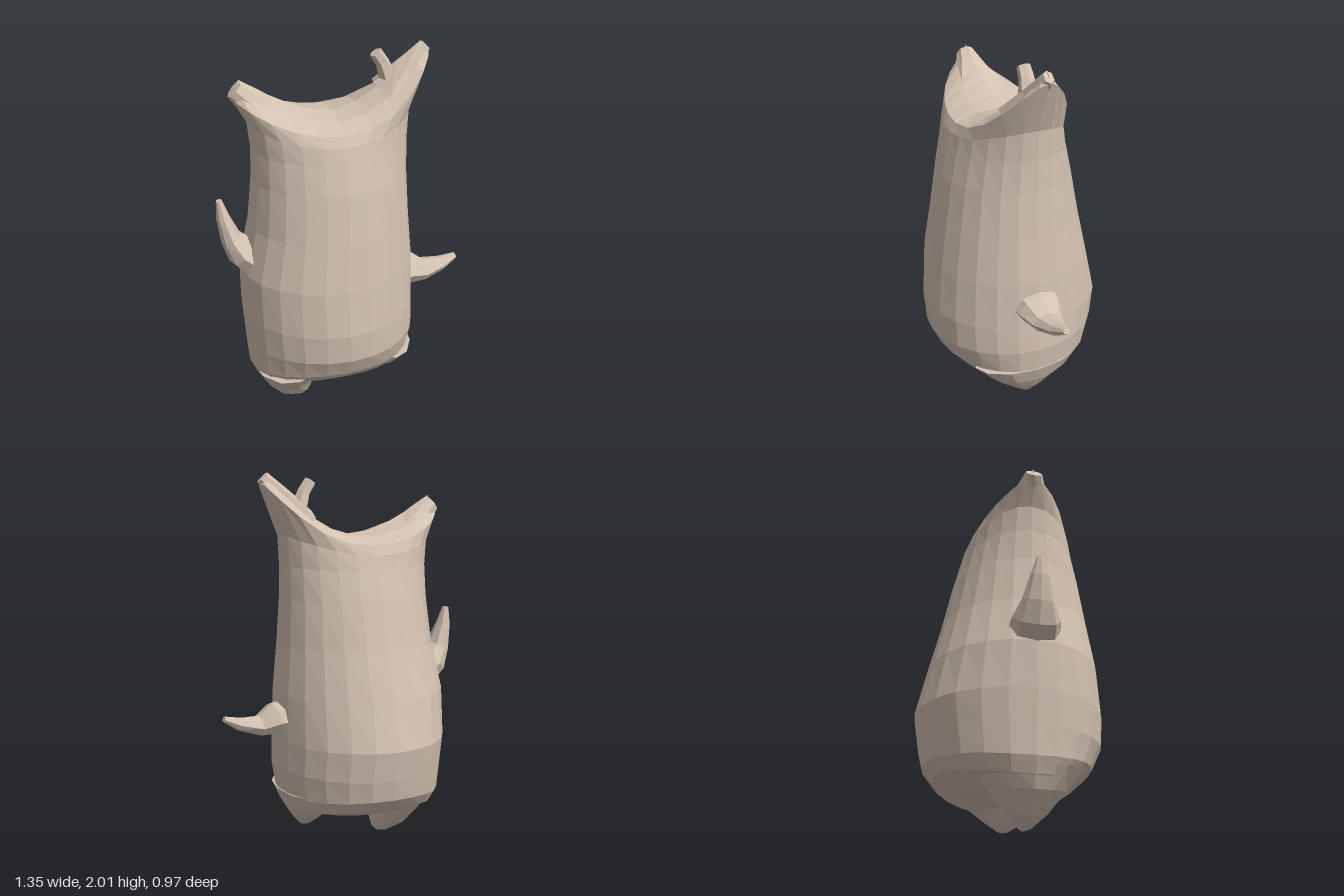
import * as THREE from 'three';

const MID_Z = 0.045; // plane through ears, arms and feet
const material = new THREE.MeshStandardMaterial({ color: 0xd3c2b2, flatShading: true });

// Skins a stack of closed rings (arrays of [x, y, z]) listed from base to tip
function skin(name, rings) {
  const n = rings[0].length;
  const index = [];
  for (let i = 0; i < rings.length - 1; i++) {
    for (let j = 0; j < n; j++) {
      const k = (j + 1) % n;
      const a = i * n + j, b = i * n + k, c = a + n, d = b + n;
      index.push(a, c, d, a, d, b);
    }
  }
  const geometry = new THREE.BufferGeometry();
  geometry.setAttribute('position', new THREE.Float32BufferAttribute(rings.flat(2), 3));
  geometry.setIndex(index);
  geometry.computeVertexNormals();
  const mesh = new THREE.Mesh(geometry, material);
  mesh.name = name;
  return mesh;
}

// Body ring whose left end, middle and right end have their own heights
function bodyRing([yl, ym, yr, xl, xr, zb, zf, rise = 2, pinch = 1], sides = 24) {
  return Array.from({ length: sides }, (_, j) => {
    const a = (j / sides) * Math.PI * 2;
    const c = Math.cos(a), s = Math.sin(a);
    const depth = s > 0 ? zf - MID_Z : MID_Z - zb;
    return [
      (xl + xr) / 2 + ((xr - xl) / 2) * c,
      ym + ((c > 0 ? yr : yl) - ym) * Math.abs(c) ** rise,
      MID_Z + Math.sign(s) * depth * Math.abs(s) ** pinch,
    ];
  });
}

// Tapered limb along stations [x, y, half thickness, half depth], closed at both ends
function limb(name, stations, sides = 8) {
  const last = stations.length - 1;
  const rings = stations.map(([x, y, w, h], i) => {
    const p = stations[Math.max(i - 1, 0)], q = stations[Math.min(i + 1, last)];
    const length = Math.hypot(q[0] - p[0], q[1] - p[1]);
    const nx = (q[1] - p[1]) / length, ny = -(q[0] - p[0]) / length;
    return Array.from({ length: sides }, (_, j) => {
      const a = (j / sides) * Math.PI * 2;
      const c = Math.cos(a) * w;
      return [x + nx * c, y + ny * c, MID_Z + Math.sin(a) * h];
    });
  });
  const centre = ([x, y]) => Array.from({ length: sides }, () => [x, y, MID_Z]);
  return skin(name, [centre(stations[0]), ...rings, centre(stations[last])]);
}

export function createModel() {
  const group = new THREE.Group();
  group.name = 'sackFigure';

  // Plump sack: flat underside, bulging belly, pinched saddle-shaped top
  const body = [
    [0.2, 0.21, 0.2, -0.2, 0.12, MID_Z, MID_Z],
    [0.16, 0.2, 0.19, -0.37, 0.21, -0.24, 0.25],
    [0.19, 0.27, 0.22, -0.505, 0.325, -0.38, 0.36],
    [0.27, 0.33, 0.3, -0.54, 0.36, -0.43, 0.42],
    [0.42, 0.44, 0.45, -0.55, 0.38, -0.455, 0.475],
    [0.6, 0.6, 0.6, -0.562, 0.375, -0.48, 0.485],
    [0.85, 0.85, 0.85, -0.565, 0.368, -0.42, 0.465],
    [1.1, 1.1, 1.1, -0.51, 0.345, -0.355, 0.43],
    [1.35, 1.35, 1.35, -0.485, 0.33, -0.3, 0.39],
    [1.52, 1.5, 1.52, -0.485, 0.33, -0.26, 0.355],
    [1.66, 1.58, 1.68, -0.5, 0.34, -0.24, 0.335],
    [1.79, 1.63, 1.95, -0.57, 0.45, -0.22, 0.31, 2.2, 1.25],
    [1.84, 1.665, 1.975, -0.555, 0.435, -0.11, 0.19, 1.9, 1.25],
    [1.88, 1.675, 1.995, -0.53, 0.415, MID_Z, MID_Z, 1.6],
  ];
  group.add(skin('body', body.map((ring) => bodyRing(ring))));

  // Tied corners at the top, and the small stub on the taller one
  group.add(limb('rightEar', [
    [-0.4, 1.68, 0.1, 0.15], [-0.48, 1.77, 0.07, 0.085], [-0.553, 1.835, 0.05, 0.045],
  ]));
  group.add(limb('leftEar', [
    [0.24, 1.74, 0.1, 0.17], [0.33, 1.86, 0.065, 0.085], [0.432, 1.973, 0.036, 0.026],
  ], 6));
  group.add(limb('earStub', [
    [0.23, 1.83, 0.045, 0.055], [0.205, 1.9, 0.035, 0.04], [0.168, 1.955, 0.033, 0.035],
  ], 6));

  // Arms: one hangs out to the side, the other is raised
  group.add(limb('leftArm', [
    [0.3, 0.72, 0.1, 0.14], [0.38, 0.71, 0.085, 0.125], [0.47, 0.68, 0.055, 0.085],
    [0.58, 0.7, 0.035, 0.05], [0.665, 0.735, 0.015, 0.02],
  ]));
  group.add(limb('rightArm', [
    [-0.47, 0.89, 0.1, 0.14], [-0.56, 0.96, 0.085, 0.125], [-0.61, 1.04, 0.055, 0.085],
    [-0.645, 1.16, 0.035, 0.05], [-0.66, 1.255, 0.016, 0.02],
  ]));

  // Blunt cone feet, the right one reaching lower
  group.add(limb('rightFoot', [
    [-0.33, 0.28, 0.2, 0.31], [-0.31, 0.17, 0.165, 0.2], [-0.28, 0.08, 0.115, 0.115],
    [-0.235, 0.025, 0.06, 0.05], [-0.215, 0.005, 0.02, 0.015],
  ], 12));
  group.add(limb('leftFoot', [
    [0.21, 0.32, 0.16, 0.3], [0.21, 0.22, 0.12, 0.2], [0.215, 0.15, 0.07, 0.1],
    [0.215, 0.105, 0.03, 0.03],
  ], 12));

  return group;
}
